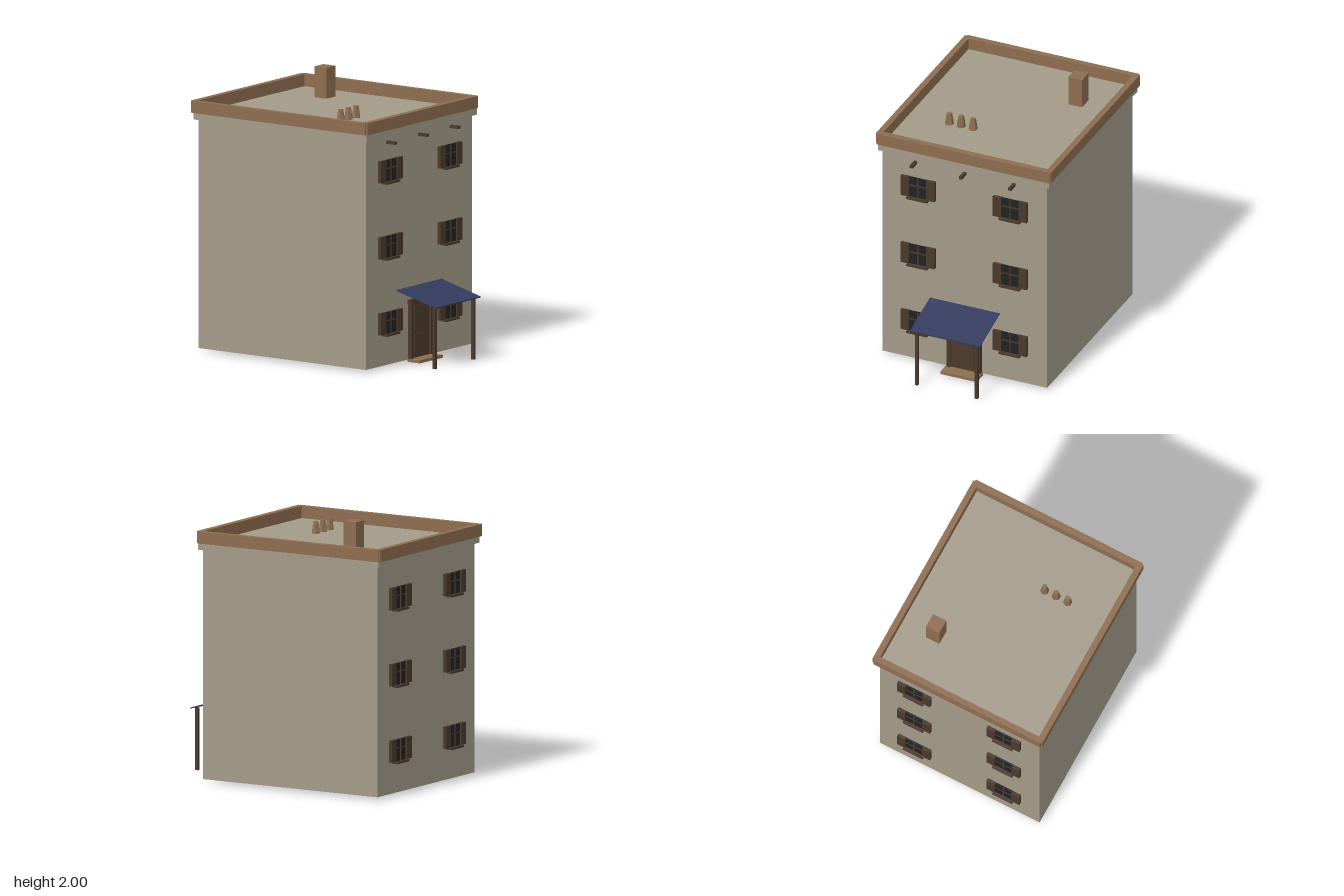
import * as THREE from 'three';

const mat = (name, color) => {
  const m = new THREE.MeshStandardMaterial({ color });
  m.name = name;
  return m;
};

export function createModel() {
  const model = new THREE.Group();
  model.name = 'townhouse';
  const stucco = mat('stucco', 0xa39b89);
  const clay = mat('clay trim', 0x8d6d50);
  const wood = mat('dark wood', 0x4b392b);
  const glass = mat('dark glass', 0x202224);
  const canvas = mat('blue awning', 0x333a5e);

  // Box given by its limits on each axis
  const box = (name, m, [x0, x1], [y0, y1], [z0, z1], parent = model) => {
    const mesh = new THREE.Mesh(new THREE.BoxGeometry(x1 - x0, y1 - y0, z1 - z0), m);
    mesh.position.set((x0 + x1) / 2, (y0 + y1) / 2, (z0 + z1) / 2);
    mesh.name = name;
    parent.add(mesh);
    return mesh;
  };

  const front = 0.6, back = -0.91;

  // Walls, cornice band and flat roof
  box('walls', stucco, [-0.66, 0.66], [0.02, 1.74], [back, front]);
  box('cornice', stucco, [-0.687, 0.687], [1.72, 1.77], [back - 0.027, front + 0.027]);

  // Parapet rails, slightly stepped at the corners
  box('parapetFront', clay, [-0.69, 0.69], [1.77, 1.86], [0.587, 0.635]);
  box('parapetBack', clay, [-0.69, 0.69], [1.77, 1.86], [-0.956, -0.912]);
  for (const s of [-1, 1]) {
    const xs = s < 0 ? [-0.703, -0.658] : [0.658, 0.703];
    box('parapetSide', clay, xs, [1.77, 1.859], [-0.944, 0.622]);
  }

  // Chimney and three hexagonal roof pots
  box('chimney', clay, [0.34, 0.45], [1.765, 2], [-0.59, -0.48]);
  for (const x of [-0.335, -0.24, -0.145]) {
    const pot = new THREE.Mesh(new THREE.CylinderGeometry(0.021, 0.034, 0.09, 6).toNonIndexed(), clay);
    pot.geometry.computeVertexNormals();
    pot.position.set(x, 1.814, 0.137);
    pot.name = 'roofPot';
    model.add(pot);
  }

  // Beam ends below the roof
  for (const x of [-0.395, 0, 0.395]) {
    box('beamEnd', wood, [x - 0.012, x + 0.012], [1.663, 1.685], [front - 0.01, 0.68]);
  }

  // Shuttered window, centred on its panes and facing +z
  const makeWindow = () => {
    const g = new THREE.Group();
    g.name = 'window';
    box('panes', glass, [-0.072, 0.072], [-0.08, 0.08], [-0.01, 0.015], g);
    box('mullion', wood, [-0.005, 0.005], [-0.08, 0.08], [0.01, 0.02], g);
    box('glazingBar', wood, [-0.072, 0.072], [0.012, 0.022], [0.01, 0.019], g);
    box('shutter', wood, [-0.137, -0.07], [-0.08, 0.083], [-0.01, 0.026], g);
    box('shutter', wood, [0.07, 0.137], [-0.08, 0.083], [-0.01, 0.026], g);
    box('sill', wood, [-0.083, 0.083], [-0.096, -0.08], [-0.01, 0.04], g);
    return g;
  };
  for (const y of [0.335, 0.9, 1.465]) {
    for (const x of [-0.37, 0.37]) {
      const f = makeWindow();
      f.position.set(x, y, front);
      const b = makeWindow();
      b.position.set(x, y, back);
      b.rotation.y = Math.PI;
      model.add(f, b);
    }
  }

  // Front door with frame, raised panels and step
  box('door', wood, [-0.108, 0.108], [0.02, 0.44], [front - 0.01, 0.615]);
  box('doorPanelLower', wood, [-0.08, 0.08], [0.06, 0.2], [0.61, 0.621]);
  box('doorPanelUpper', wood, [-0.08, 0.08], [0.23, 0.41], [0.61, 0.621]);
  box('lintel', wood, [-0.142, 0.142], [0.435, 0.466], [front - 0.01, 0.634]);
  for (const s of [-1, 1]) {
    const xs = s < 0 ? [-0.136, -0.107] : [0.107, 0.136];
    box('doorJamb', wood, xs, [0.02, 0.44], [front - 0.01, 0.63]);
  }
  box('doorStep', clay, [-0.145, 0.145], [0.004, 0.026], [0.6, 0.712]);

  // Sloping awning on two posts
  const run = 0.355, drop = 0.095;
  const awning = new THREE.Mesh(new THREE.BoxGeometry(0.56, 0.008, Math.hypot(run, drop)), canvas);
  awning.position.set(0, 0.508, front + run / 2);
  awning.rotation.x = Math.atan2(drop, run);
  awning.name = 'awning';
  model.add(awning);
  for (const x of [-0.24, 0.24]) {
    box('awningPost', wood, [x - 0.012, x + 0.012], [0, 0.463], [0.906, 0.93]);
  }

  return model;
}
